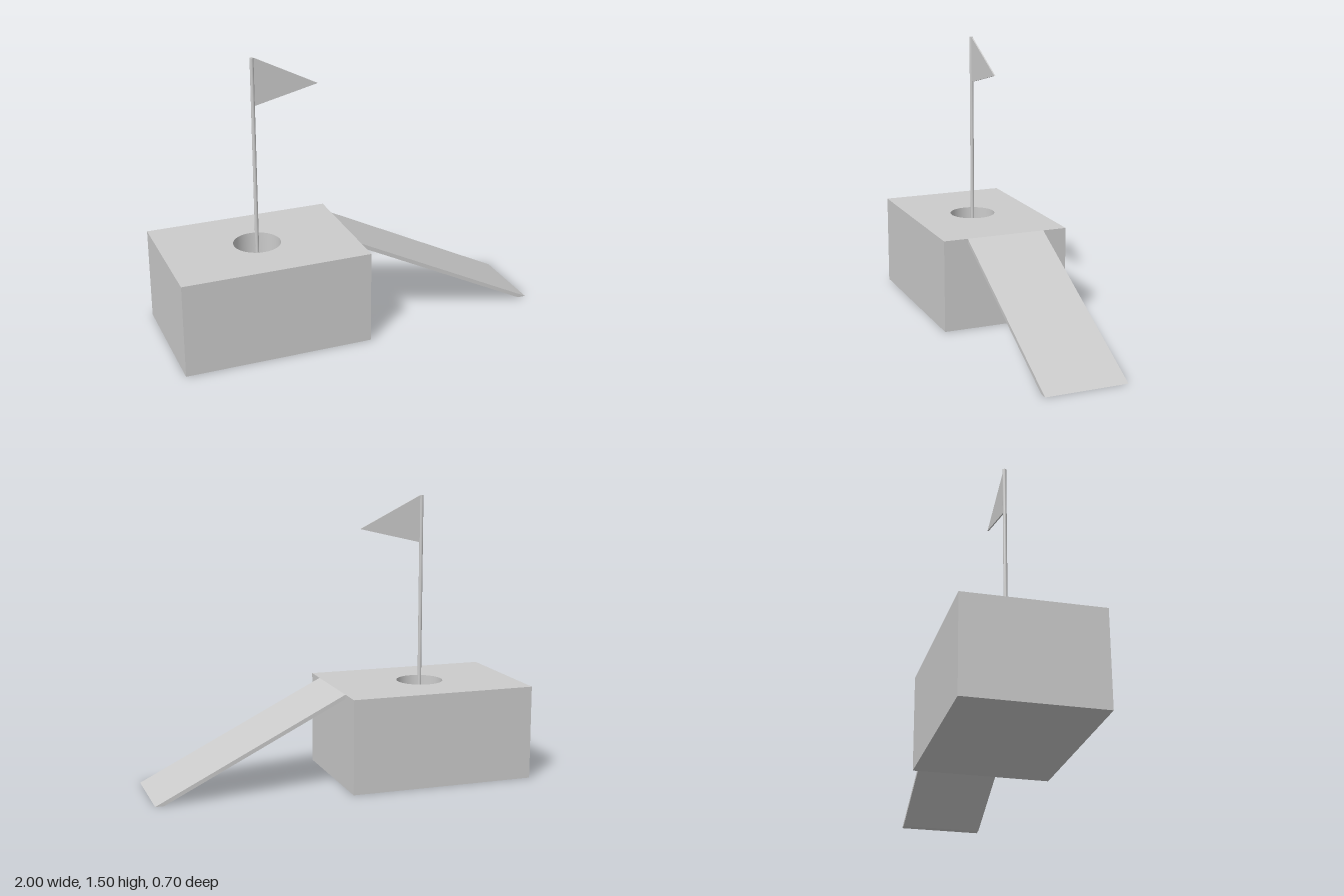
import * as THREE from 'three';

const material = new THREE.MeshStandardMaterial({ color: 0xcccccc });
const CENTRE_X = -0.5, TOP = 0.5, CUP_RADIUS = 0.125, CUP_FLOOR = 0.25, POLE_RADIUS = 0.01;

function add(parent, name, geometry, mat = material) {
  const mesh = new THREE.Mesh(geometry, mat);
  mesh.name = name;
  parent.add(mesh);
  return mesh;
}

// Side profile in x/y, extruded symmetrically about z = 0
function slab(points, width) {
  const shape = new THREE.Shape(points.map(([x, y]) => new THREE.Vector2(x, y)));
  return new THREE.ExtrudeGeometry(shape, { depth: width, bevelEnabled: false }).translate(0, 0, -width / 2);
}

export function createModel() {
  const model = new THREE.Group();
  model.name = 'golfRampHole';

  // Block: box without its top face, closed by a top sheet with a round opening
  const block = new THREE.Group();
  block.name = 'block';
  model.add(block);
  const walls = new THREE.BoxGeometry(1, TOP, 0.7).translate(CENTRE_X, TOP / 2, 0);
  const index = Array.from(walls.index.array);
  index.splice(12, 6); // the +y face
  walls.setIndex(index);
  walls.clearGroups();
  add(block, 'blockWalls', walls);

  const sheet = new THREE.Shape([[-0.5, -0.35], [0.5, -0.35], [0.5, 0.35], [-0.5, 0.35]]
    .map(([x, y]) => new THREE.Vector2(x, y)));
  sheet.holes.push(new THREE.Path().absarc(0, 0, CUP_RADIUS, 0, Math.PI * 2, true));
  add(block, 'blockTop', new THREE.ShapeGeometry(sheet, 24).rotateX(-Math.PI / 2).translate(CENTRE_X, TOP, 0));

  // Cup sunk into the block
  const inside = material.clone();
  inside.side = THREE.BackSide;
  const depth = TOP - CUP_FLOOR;
  add(block, 'cupWall', new THREE.CylinderGeometry(CUP_RADIUS, CUP_RADIUS, depth, 48, 1, true)
    .translate(CENTRE_X, TOP - depth / 2, 0), inside);
  add(block, 'cupFloor', new THREE.CircleGeometry(CUP_RADIUS, 48)
    .rotateX(-Math.PI / 2).translate(CENTRE_X, CUP_FLOOR, 0));

  // Sloping ramp down to the ground
  add(model, 'ramp', slab([[0, 0.5], [0, 0.477], [0.955, 0], [1, 0]], 0.435));

  // Pole standing in the cup, with a triangular pennant
  const poleHeight = 1.5 - CUP_FLOOR;
  add(model, 'pole', new THREE.CylinderGeometry(POLE_RADIUS, POLE_RADIUS, poleHeight, 24)
    .translate(CENTRE_X, CUP_FLOOR + poleHeight / 2, 0));
  add(model, 'pennant', slab([[-0.492, 1.5], [-0.492, 1.25], [-0.155, 1.33]], 0.007));

  return model;
}
